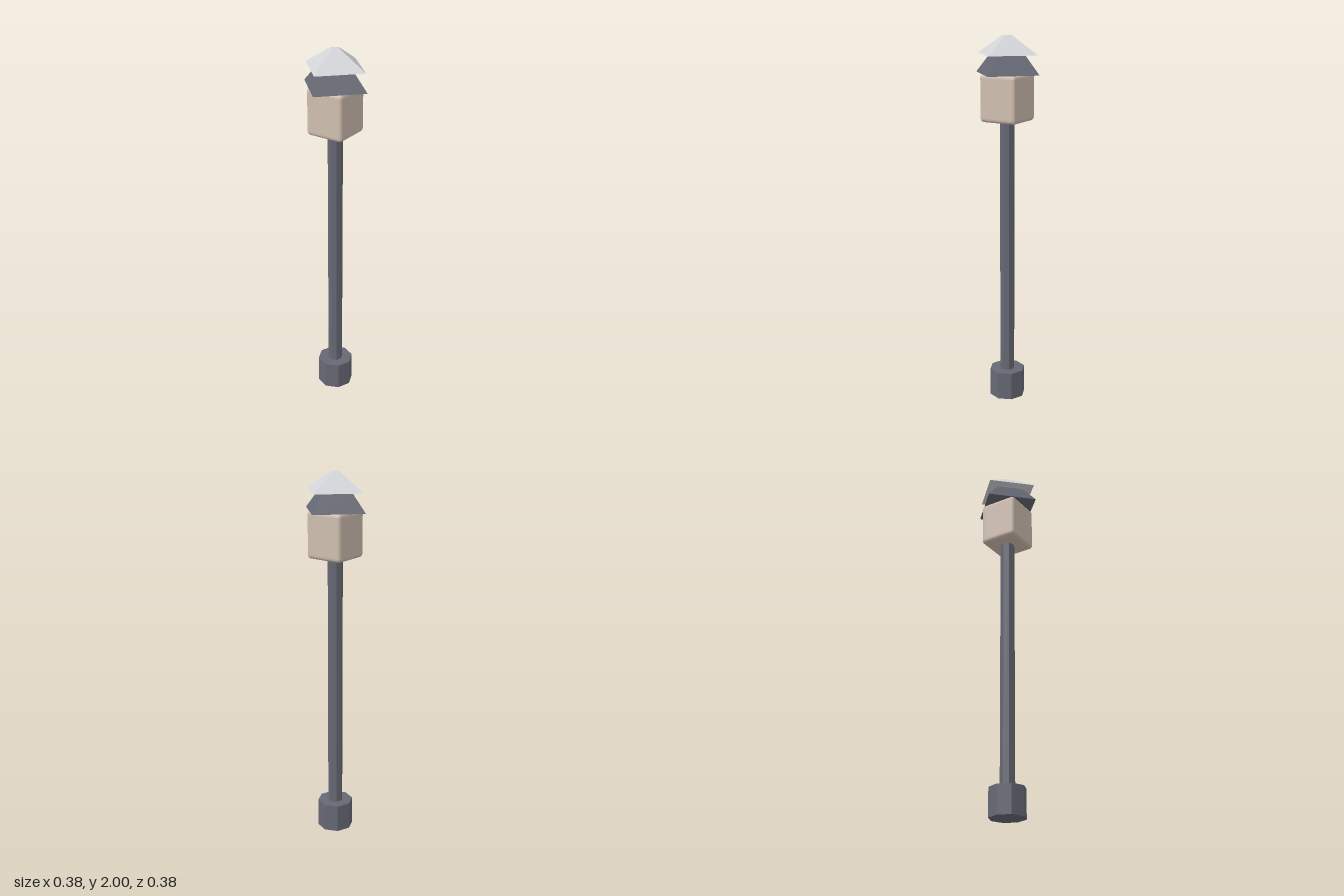
import * as THREE from 'three';
import { RoundedBoxGeometry } from 'three/addons/geometries/RoundedBoxGeometry.js';

export function createModel() {
  const lamp = new THREE.Group();
  lamp.name = 'streetLamp';

  const material = (name, color) => {
    const m = new THREE.MeshStandardMaterial({ color, flatShading: true });
    m.name = name;
    return m;
  };
  const darkMetal = material('darkMetal', 0x666874);
  const paleMetal = material('paleMetal', 0xd2d4d8);
  const warmGlass = material('warmGlass', 0xd0beb0);

  const add = (name, geometry, mat, y) => {
    const mesh = new THREE.Mesh(geometry, mat);
    mesh.name = name;
    mesh.position.y = y;
    lamp.add(mesh);
  };
  // Prism or frustum spanning y0 to y1, with a corner facing the front
  const frustum = (name, topR, bottomR, y0, y1, sides, mat) =>
    add(name, new THREE.CylinderGeometry(topR, bottomR, y1 - y0, sides), mat, (y0 + y1) / 2);

  // Octagonal foot and post
  frustum('base', 0.098, 0.098, 0, 0.155, 8, darkMetal);
  frustum('post', 0.04, 0.04, 0.15, 1.57, 8, darkMetal);

  // Lantern box with softened edges
  add('lantern', new RoundedBoxGeometry(0.214, 0.25, 0.214, 2, 0.02), warmGlass, 1.682);

  // Two-tier roof, turned 45 degrees to the lantern
  frustum('lowerRoof', 0.105, 0.192, 1.805, 1.905, 4, darkMetal);
  frustum('upperRoof', 0.03, 0.181, 1.905, 2, 4, paleMetal);

  return lamp;
}
